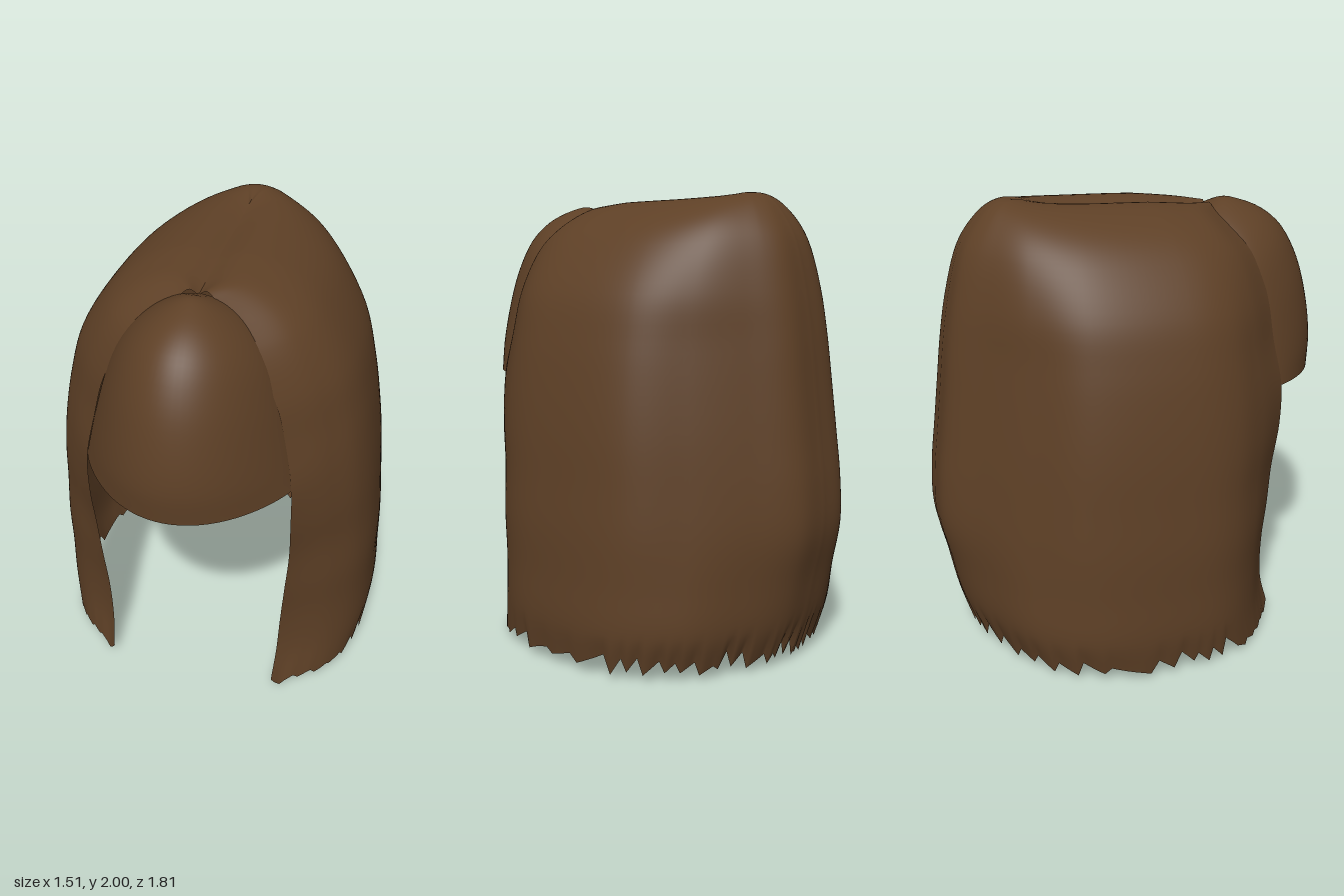
import * as THREE from 'three';

const V = (x, y, z) => new THREE.Vector3(x, y, z);
const curve = (pts) => new THREE.CatmullRomCurve3(pts, false, 'centripetal');

// Smooth sheet through a grid of points: grid[column][row]
function sheet(grid, material, name) {
  const rows = grid[0].length, index = [];
  for (let i = 0; i < grid.length - 1; i++) {
    for (let j = 0; j < rows - 1; j++) {
      const a = i * rows + j, b = a + rows;
      index.push(a, a + 1, b, b, a + 1, b + 1);
    }
  }
  const geo = new THREE.BufferGeometry().setFromPoints(grid.flat());
  geo.setIndex(index);
  geo.computeVertexNormals();
  const mesh = new THREE.Mesh(geo, material);
  mesh.name = name;
  return mesh;
}

// Small seeded generator for the ragged hem
function seeded(seed) {
  return () => (seed = (seed * 16807) % 2147483647) / 2147483647;
}

// Hem height per column: saw teeth of uneven width, longest at the face
function hemHeights(count, seed) {
  const rnd = seeded(seed), out = [0.05, 0.02, 0];
  while (out.length <= count) {
    const width = 3 + Math.floor(rnd() * 4), u = out.length / count;
    const low = u < 0.2 ? 0.01 + 0.02 * rnd() : 0.02 + 0.03 * rnd();
    const high = low + (u < 0.2 ? 0.02 : 0.03 + 0.05 * rnd());
    for (let k = 0; k < width; k++) out.push(low + (high - low) * k / (width - 1));
  }
  out[count] = 0.03;
  return out;
}

// Levels of the main hair: y, front edge x and z, half width, back z, fullness of the back corner
const LEVELS = [
  [1.97, 0, 0.385, 0, -0.40, 1],
  [1.995, 0.035, 0.39, 0.11, -0.53, 1.08],
  [1.97, 0.07, 0.40, 0.235, -0.60, 1.06],
  [1.90, 0.165, 0.45, 0.37, -0.67, 1.03],
  [1.80, 0.255, 0.51, 0.475, -0.73, 1],
  [1.60, 0.355, 0.54, 0.60, -0.785, 0.96],
  [1.40, 0.405, 0.555, 0.66, -0.82, 0.93],
  [1.20, 0.44, 0.585, 0.697, -0.845, 0.925],
  [1.00, 0.445, 0.585, 0.722, -0.87, 0.925],
  [0.80, 0.44, 0.56, 0.737, -0.895, 0.925],
  [0.60, 0.425, 0.555, 0.75, -0.90, 0.935],
  [0.40, 0.41, 0.545, 0.75, -0.86, 0.97],
  [0.20, 0.40, 0.555, 0.75, -0.82, 1],
  [0.05, 0.39, 0.60, 0.73, -0.77, 1],
];

// One half of the main hair, from the front edge round to the back centre
function halfHair(side, seed) {
  const N = 96;
  const slices = LEVELS.map(([y, xf, zf, X, zb, k]) => curve([
    V(xf, y, zf), V(0.82 * X, y, 0.73 * zf), V(0.95 * X, y, 0.48 * zf),
    V(X, y, 0.08), V(0.95 * X * (1 + k) / 2, y, 0.42 * zb), V(0.74 * X * k, y, 0.71 * zb * k),
    V(0.46 * X * k, y, 0.88 * zb * (1 + k) / 2), V(0.2 * X, y, 0.985 * zb), V(0, y, zb),
  ]));
  const hem = hemHeights(N, seed);
  const columns = [];
  for (let i = 0; i <= N; i++) {
    const u = i / N;
    const drop = 0.032 * (1 - Math.min(1, u / 0.8)); // crown rises to the back
    const strand = curve(slices.map((s) => s.getPoint(u)));
    columns.push(strand.getPoints(65).map((p) => {
      let y = p.y * (1 - drop * Math.max(0, p.y - 1));
      if (y < 0.22) y += (hem[i] - 0.05) * (1 - (y - 0.05) / 0.17);
      return V(p.x * side, y, p.z);
    }));
  }
  return columns;
}

// Levels of the fringe: edge y, centre y, edge x, edge z, centre z
const FRINGE = [
  [1.91, 1.915, 0, 0.37, 0.39],
  [1.90, 1.945, 0.08, 0.38, 0.47],
  [1.86, 1.93, 0.17, 0.41, 0.55],
  [1.79, 1.885, 0.25, 0.46, 0.66],
  [1.69, 1.81, 0.315, 0.49, 0.75],
  [1.54, 1.67, 0.37, 0.51, 0.83],
  [1.39, 1.50, 0.41, 0.525, 0.88],
  [1.27, 1.32, 0.435, 0.545, 0.905],
  [1.185, 1.17, 0.45, 0.56, 0.895],
];

// Each slice of the fringe tapers to a rounded wedge
function fringeColumns() {
  const columns = [];
  for (let i = 0; i <= 40; i++) {
    const a = (i / 40 - 0.5) * Math.PI, s = Math.sin(a), w = Math.max(0, Math.cos(a)) ** 1.7;
    columns.push(curve(FRINGE.map(([ye, yc, x, ze, zc]) =>
      V(x * s, ye + (yc - ye) * w, ze + (zc - ze) * w))).getPoints(32));
  }
  return columns;
}

export function createModel() {
  const brown = new THREE.MeshStandardMaterial({ color: 0x5e4026, side: THREE.DoubleSide });
  brown.name = 'brown hair';
  const group = new THREE.Group();
  group.name = 'hair';

  // Both halves share the back centre and meet along the parting
  const left = halfHair(1, 7331), right = halfHair(-1, 4177);
  const columns = left.concat(right.slice(0, -1).reverse());
  group.add(sheet(columns, brown, 'longHair'));

  // Rounded fringe over the forehead
  group.add(sheet(fringeColumns(), brown, 'fringe'));
  return group;
}
